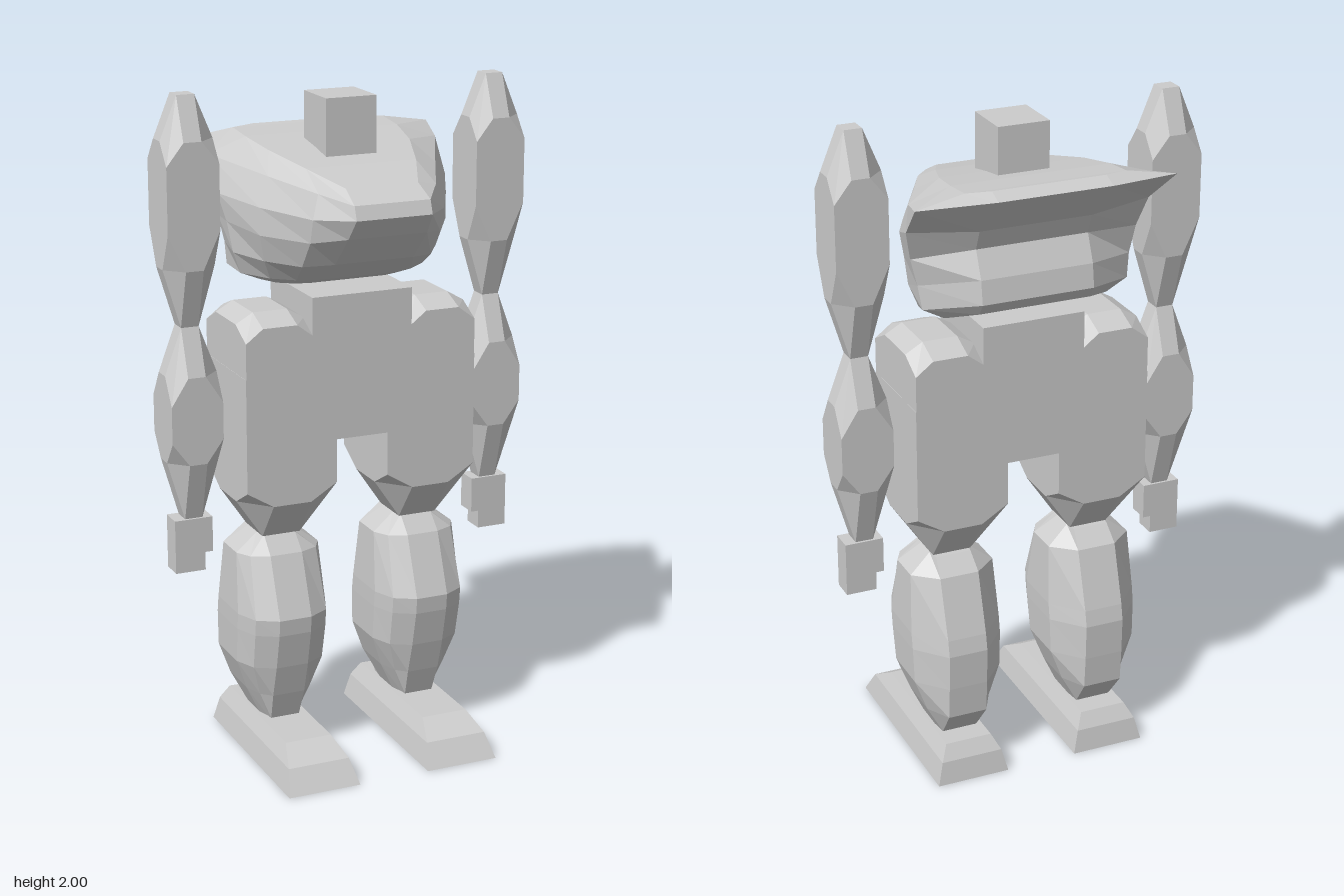
import * as THREE from 'three';

const grey = new THREE.MeshStandardMaterial({ color: 0xcccccc, flatShading: true });
grey.name = 'plain grey';

function add(parent, name, geometry, x = 0, y = 0, z = 0) {
  const mesh = new THREE.Mesh(geometry, grey);
  mesh.name = name;
  mesh.position.set(x, y, z);
  parent.add(mesh);
  return mesh;
}

// Closed solid through rings from top to bottom. Each ring lists [x, y, z]
// points of its +x half from front to back; the other half is mirrored.
function loft(halfRings) {
  const rings = halfRings.map(h => [...h, ...[...h].reverse().map(([x, y, z]) => [-x, y, z])]);
  const n = rings[0].length;
  const pos = [];
  const quad = (a, b, c, d) => pos.push(...a, ...b, ...c, ...a, ...c, ...d);
  for (let r = 0; r < rings.length - 1; r++) {
    const u = rings[r], l = rings[r + 1];
    for (let i = 0; i < n; i++) {
      const k = (i + 1) % n;
      quad(u[i], l[i], l[k], u[k]);
    }
  }
  const top = rings[0], bottom = rings[rings.length - 1];
  for (let i = 0; i < n / 2 - 1; i++) {
    quad(top[i], top[i + 1], top[n - 2 - i], top[n - 1 - i]);
    quad(bottom[i], bottom[n - 1 - i], bottom[n - 2 - i], bottom[i + 1]);
  }
  const g = new THREE.BufferGeometry();
  g.setAttribute('position', new THREE.Float32BufferAttribute(pos, 3));
  g.computeVertexNormals();
  return g;
}

// Square block with faceted ends: heights are [centre, edge, corner].
function facetedBlock(hx, hz, inner, topY, bottomY) {
  const g = new THREE.BoxGeometry(2, 2, 2, 3, 1, 3).toNonIndexed();
  const p = g.attributes.position;
  for (let i = 0; i < p.count; i++) {
    const x = p.getX(i), z = p.getZ(i);
    const outX = Math.abs(x) > 0.9, outZ = Math.abs(z) > 0.9;
    const heights = p.getY(i) > 0 ? topY : bottomY;
    p.setXYZ(i,
      Math.sign(x) * hx * (outX ? 1 : inner),
      heights[Number(outX) + Number(outZ)],
      Math.sign(z) * hz * (outZ ? 1 : inner));
  }
  g.computeVertexNormals();
  return g;
}

// Wedge-shaped chest, wide at the back and narrow at the front
function chestGeometry() {
  return loft([
    [[.11, 1.755, .24], [.17, 1.79, .1], [.22, 1.82, -.05], [.24, 1.84, -.18], [.24, 1.85, -.28], [.17, 1.853, -.3]],
    [[.115, 1.72, .31], [.18, 1.74, .21], [.26, 1.765, .04], [.36, 1.80, -.17], [.39, 1.825, -.295], [.17, 1.835, -.345]],
    [[.115, 1.68, .325], [.2, 1.67, .22], [.29, 1.68, .05], [.36, 1.7, -.1], [.368, 1.72, -.17], [.17, 1.71, -.215]],
    [[.12, 1.62, .28], [.2, 1.6, .2], [.29, 1.6, .05], [.34, 1.62, -.08], [.345, 1.63, -.14], [.17, 1.65, -.19]],
    [[.12, 1.53, .19], [.2, 1.52, .14], [.27, 1.52, .03], [.325, 1.53, -.07], [.325, 1.55, -.14], [.17, 1.57, -.225]],
    [[.12, 1.46, .07], [.18, 1.46, .05], [.24, 1.46, 0], [.3, 1.465, -.08], [.315, 1.48, -.15], [.17, 1.5, -.235]],
    [[.12, 1.435, 0], [.16, 1.433, -.02], [.2, 1.433, -.05], [.23, 1.435, -.1], [.25, 1.445, -.15], [.17, 1.465, -.21]],
  ]);
}

// Bulging shin: rows of [y, half width, front z, back z]
function shinGeometry() {
  const rows = [
    [.69, .06, .02, -.13], [.64, .13, .06, -.175], [.46, .14, .13, -.23],
    [.41, .14, .125, -.24], [.30, .137, .1, -.237], [.2, .1, .07, -.23], [.115, .06, .04, -.165],
  ];
  return loft(rows.map(([y, w, f, b]) => {
    const d = f - b, a = Math.min(.05, w * .75);
    return [[a, y, f], [w * .8, y, f - d * .1], [w, y, f - d * .3], [w, y, b + d * .25], [a * 1.2, y, b]];
  }));
}

// Long sloped foot: rows of [y, half width, front z, back z]
function footGeometry() {
  const rows = [[.115, .072, .22, -.235], [.07, .095, .3, -.262], [0, .1125, .345, -.275]];
  return loft(rows.map(([y, w, f, b]) => [[w, y, f], [w, y, b]]));
}

export function createModel() {
  const model = new THREE.Group();
  model.name = 'robot';

  add(model, 'head', new THREE.BoxGeometry(.156, .17, .16), 0, 1.885, -.05);
  add(model, 'chest', chestGeometry());
  add(model, 'waist', new THREE.BoxGeometry(.312, .43, .315), 0, 1.205, -.048);

  const shoulder = facetedBlock(.105, .1575, .5, [1.375, 1.345, 1.305], [1.1, 1.1, 1.1]);
  const thigh = facetedBlock(.14, .1575, .42, [1.2, 1.2, 1.2], [.69, .81, .86]);
  const upperArm = facetedBlock(.078, .078, .34, [2, 1.875, 1.81], [1.337, 1.51, 1.62]);
  const forearm = facetedBlock(.078, .078, .34, [1.337, 1.2, 1.12], [.76, .94, 1.01]);
  const shin = shinGeometry();
  const foot = footGeometry();

  for (const [side, s] of [['left', 1], ['right', -1]]) {
    // Hip and leg
    const leg = new THREE.Group();
    leg.name = side + 'Leg';
    add(leg, side + 'HipTop', shoulder, s * .255, 0, -.048);
    add(leg, side + 'Thigh', thigh, s * .221, 0, -.048);
    add(leg, side + 'Shin', shin, s * .222);
    add(leg, side + 'Foot', foot, s * .2225);
    model.add(leg);

    // Arm with a notched hand
    const arm = new THREE.Group();
    arm.name = side + 'Arm';
    add(arm, side + 'UpperArm', upperArm, s * .478, 0, -.05);
    add(arm, side + 'Forearm', forearm, s * .478, 0, -.05);
    add(arm, side + 'Hand', new THREE.BoxGeometry(.116, .107, .07), s * .481, .7085, -.05);
    add(arm, side + 'Fingers', new THREE.BoxGeometry(.092, .055, .07), s * .493, .6275, -.05);
    model.add(arm);
  }
  return model;
}
